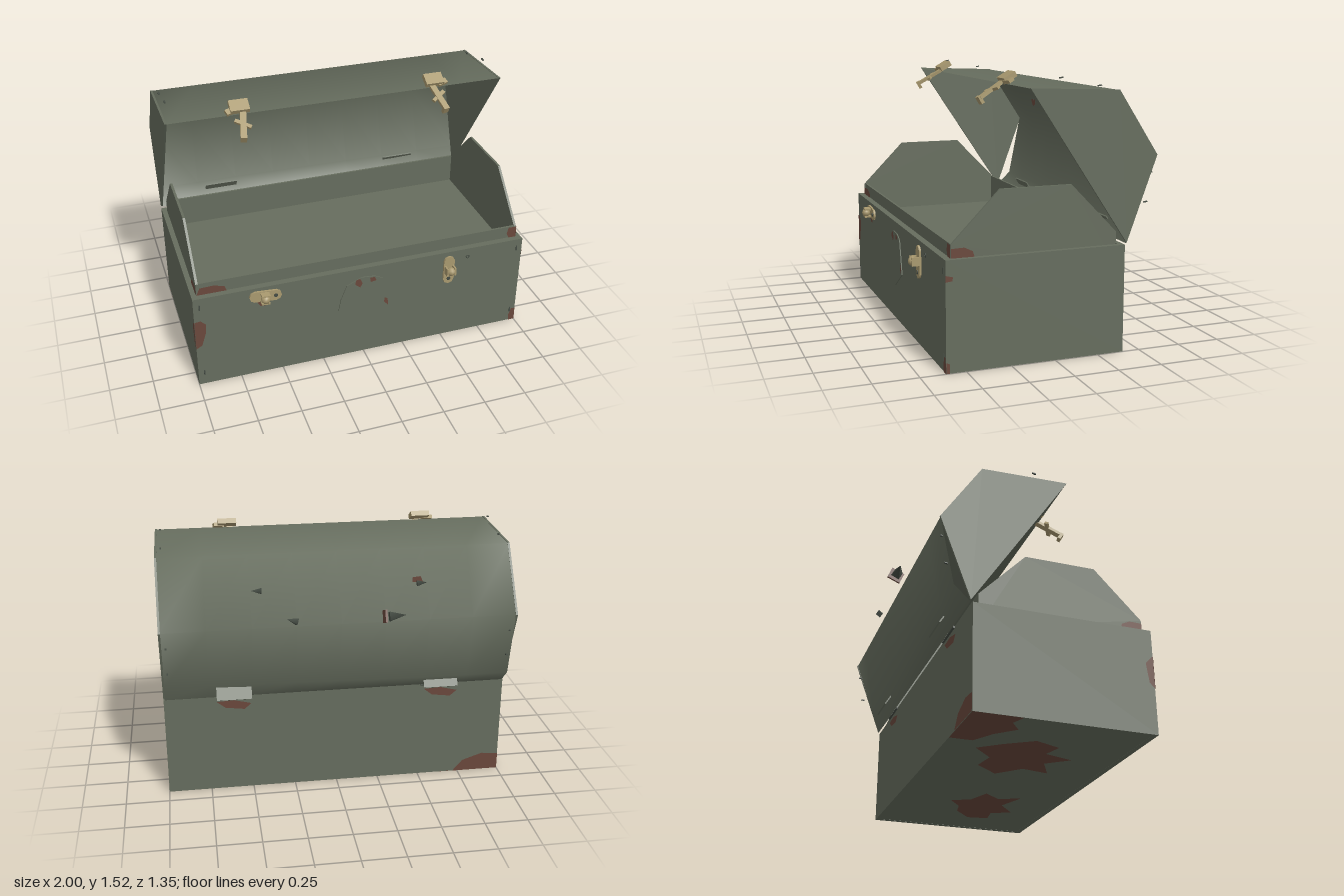
import * as THREE from 'three';

const material = (name, color, side = THREE.FrontSide) => {
  const m = new THREE.MeshStandardMaterial({ color, side });
  m.name = name;
  return m;
};

export function createModel() {
  const green = material('olive paint', 0x666d5e, THREE.DoubleSide);
  const rust = material('rust', 0x6a483c, THREE.DoubleSide);
  const brass = material('brass', 0xa9996f);
  const iron = material('dark iron', 0x454c44, THREE.DoubleSide);

  const model = new THREE.Group();
  model.name = 'openChest';

  const add = (name, geo, mat, pos = [0, 0, 0], rot = [0, 0, 0], parent = model) => {
    const mesh = new THREE.Mesh(geo, mat);
    mesh.name = name;
    mesh.position.set(...pos);
    mesh.rotation.set(...rot);
    parent.add(mesh);
    return mesh;
  };
  const box = (name, size, mat, pos, rot, parent) =>
    add(name, new THREE.BoxGeometry(...size), mat, pos, rot, parent);
  const poly = (pts) => new THREE.Shape(pts.map((p) => new THREE.Vector2(...p)));
  const slab = (pts, depth) => new THREE.ExtrudeGeometry(poly(pts), { depth, bevelEnabled: false });

  // Panel drawn in (z, y), standing across x
  const endPanel = (name, pts, x, thick) =>
    add(name, slab(pts, thick), green, [x + thick / 2, 0, 0], [0, -Math.PI / 2, 0]);

  // Body: hollow walls, base and raised tray floor
  const walls = poly([[-1, -0.61], [1, -0.61], [1, 0.4], [-1, 0.4]]);
  walls.holes.push(new THREE.Path(
    [[-0.97, -0.58], [-0.97, 0.37], [0.97, 0.37], [0.97, -0.58]].map((p) => new THREE.Vector2(...p))));
  add('bodyWalls', new THREE.ExtrudeGeometry(walls, { depth: 0.6, bevelEnabled: false }),
    green, [0, 0, 0], [-Math.PI / 2, 0, 0]);
  box('base', [1.96, 0.02, 0.97], green, [0, 0.011, 0.105]);
  box('trayFloor', [1.95, 0.02, 0.96], green, [0, 0.48, 0.105]);

  // Tray liner: front and back lips with tall end boards
  for (const z of [0.565, -0.355]) box('trayLip', [1.93, 0.19, 0.012], green, [0, 0.578, z]);
  const endBoard = [[-0.36, 0.48], [0.572, 0.48], [0.572, 0.67], [0.305, 0.942], [-0.095, 0.942], [-0.36, 0.67]];
  for (const s of [-1, 1]) endPanel('trayEndBoard', endBoard, s * 0.963, 0.014);
  box('trayRimFront', [1.94, 0.01, 0.03], green, [0, 0.594, 0.58]);

  // Lid: curved shell with one dented end, profile runs hinge to front edge
  const straight = [[-0.41, 0.605], [-0.445, 0.7], [-0.578, 1.08], [-0.35, 1.43], [0.15, 1.45]];
  const bulged = [[-0.41, 0.605], [-0.5, 0.69], [-0.578, 1.08], [-0.35, 1.43], [0.15, 1.45]];
  const verts = [], index = [], cols = 8, n = straight.length;
  for (let i = 0; i <= cols; i++) {
    const t = i / cols;
    for (let j = 0; j < n; j++) {
      const k = Math.min(1, (1 - t) * 1.3);
      verts.push(-0.99 + 1.98 * t,
        THREE.MathUtils.lerp(straight[j][1], bulged[j][1], k),
        THREE.MathUtils.lerp(straight[j][0], bulged[j][0], k));
      if (i < cols && j < n - 1) {
        const a = i * n + j, b = a + n;
        index.push(a, a + 1, b, b, a + 1, b + 1);
      }
    }
  }
  const shell = new THREE.BufferGeometry();
  shell.setAttribute('position', new THREE.Float32BufferAttribute(verts, 3));
  shell.setIndex(index);
  shell.computeVertexNormals();
  add('lidShell', shell, green);
  const lidEnd = [[-0.41, 0.61], [0.152, 1.452], [-0.35, 1.433], [-0.582, 1.08]];
  for (const s of [-1, 1]) endPanel('lidEnd', lidEnd, s * 0.994, 0.012);

  // Lock plate on the front
  add('lockPlate', slab([[0, 0.21], [0.155, 0.31], [0.11, 0.51], [0.06, 0.535], [-0.02, 0.542],
    [-0.11, 0.5], [-0.145, 0.41], [-0.16, 0.33]], 0.007), green, [0, 0, 0.609]);

  // Front catches: plate, square keeper and knob
  const catchPlate = (x, y, turn) => {
    const g = new THREE.Group();
    g.name = 'frontCatch';
    g.position.set(x, y, 0.61);
    g.rotation.z = turn;
    model.add(g);
    box('catchPlate', [0.068, 0.13, 0.012], brass, [0, 0, 0.006], [0, 0, 0], g);
    for (const s of [-1, 1]) {
      add('catchPlateEnd', new THREE.CylinderGeometry(0.034, 0.034, 0.012, 8), brass,
        [0, s * 0.06, 0.006], [Math.PI / 2, 0, 0], g);
      box('keeperArm', [0.01, 0.05, 0.045], brass, [s * 0.024, 0.008, 0.03], [0, 0, 0], g);
    }
    add('catchKnob', new THREE.SphereGeometry(0.027, 8, 6), brass, [0, 0.008, 0.04], [0, 0, 0], g);
    add('catchScrew', new THREE.CylinderGeometry(0.012, 0.012, 0.006, 8), iron,
      [0, -0.058, 0.013], [Math.PI / 2, 0, 0], g);
  };
  catchPlate(0.525, 0.48, 0);
  catchPlate(-0.59, 0.543, 1.5);
  add('screwHole', new THREE.TorusGeometry(0.01, 0.003, 4, 8), iron, [0.645, 0.545, 0.612]);

  // Lid latches: mounting block, hanging arm and hooked end, tilted forward
  for (const [x, s] of [[-0.58, -1], [0.58, 1]]) {
    const g = new THREE.Group();
    g.name = 'lidLatch';
    g.position.set(x, 1.485, 0.12);
    g.rotation.x = 0.53;
    model.add(g);
    box('latchBlock', [0.11, 0.03, 0.075], brass, [0, 0, 0], [0, 0, 0], g);
    box('latchWing', [0.06, 0.02, 0.035], brass, [s * 0.05, -0.01, 0.02], [0, 0.3, 0], g);
    box('latchArm', [0.035, 0.018, 0.17], brass, [0, -0.012, 0.115], [0, s * 0.2, 0], g);
    box('latchCrossbar', [0.1, 0.016, 0.022], brass, [0, -0.014, 0.11], [0, s * 0.6, 0], g);
    box('latchHook', [0.035, 0.045, 0.02], brass, [s * 0.015, -0.022, 0.2], [0, s * 0.2, 0], g);
  }

  // Bent spikes on the outside of the lid
  for (const [x, y, z, r, tilt] of [[-0.465, 1.26, -0.475, 0.022, 1.5], [0.46, 1.26, -0.475, 0.022, -1.5],
    [-0.3, 1.13, -0.625, 0.036, 1.5], [0.28, 1.13, -0.61, 0.024, -1.2]]) {
    add('lidSpike', new THREE.ConeGeometry(r, r * 2.6, 4), iron, [x, y, z], [-0.3, 0, tilt]);
  }
  box('spikeWasher', [0.012, 0.07, 0.08], rust, [-0.23, 1.13, -0.625], [0.4, 0, 0]);

  // Hinges along the back
  for (const x of [-0.6, 0.6]) {
    box('hingeLeaf', [0.2, 0.09, 0.008], green, [x, 0.655, -0.462], [0.55, 0, 0]);
    add('hingePin', new THREE.CylinderGeometry(0.007, 0.007, 0.2, 6), iron, [x, 0.6, -0.405], [0, 0, Math.PI / 2]);
  }

  // Loose rivets along the lid ends
  for (const s of [-1, 1]) {
    for (const [y, z] of [[1.5, -0.03], [1.455, -0.25], [0.82, -0.535], [0.98, -0.56]]) {
      box('lidRivet', [0.01, 0.006, 0.022], iron, [s * 0.965, y, z], [0.15, 0, 0]);
    }
    for (const y of [0.08, 0.54]) box('bodyRivet', [0.007, 0.035, 0.005], iron, [s * 0.965, y, 0.611]);
  }

  // Rust patches, each drawn flat and turned onto its face
  const patch = (pts, pos, rot) =>
    add('rustPatch', new THREE.ShapeGeometry(poly(pts)), rust, pos, rot);
  const half = Math.PI / 2;
  const front = (pts, z = 0.6125) => patch(pts, [0, 0, z], [0, 0, 0]);
  front([[-1, 0.26], [-0.965, 0.28], [-0.94, 0.36], [-0.935, 0.42], [-0.965, 0.45], [-1, 0.445]]);
  front([[1, 0], [1, 0.085], [0.975, 0.085], [0.96, 0.04], [0.965, 0]]);
  front([[-0.65, 0.52], [-0.62, 0.475], [-0.59, 0.475], [-0.56, 0.52]]);
  front([[-0.06, 0.5], [-0.03, 0.475], [-0.015, 0.5], [-0.03, 0.535], [-0.055, 0.53]], 0.6175);
  front([[0.035, 0.5], [0.07, 0.505], [0.06, 0.53], [0.03, 0.53]], 0.6175);
  front([[0.12, 0.34], [0.148, 0.31], [0.142, 0.36], [0.125, 0.37]], 0.6175);
  front([[-0.97, 0.6], [-0.8, 0.6], [-0.81, 0.63], [-0.87, 0.648], [-0.95, 0.645]], 0.575);
  front([[0.97, 0.6], [0.97, 0.67], [0.92, 0.67], [0.91, 0.63], [0.925, 0.6]], 0.575);
  front([[-0.48, 1.25], [-0.45, 1.215], [-0.415, 1.23], [-0.415, 1.29], [-0.46, 1.295]], -0.46)
    .rotation.set(0, 0, 0);
  for (const s of [-1, 1]) {
    const side = (pts, x) => patch(pts.map(([z, y]) => [-s * z, y]), [s * x, 0, 0], [0, s * half, 0]);
    side([[0.572, 0.6], [0.572, 0.65], [0.5, 0.652], [0.455, 0.63], [0.445, 0.6]], 0.973);
    if (s > 0) {
      side([[0.61, 0.485], [0.575, 0.49], [0.57, 0.51], [0.61, 0.52]], 1.002);
      side([[0.61, 0], [0.59, 0], [0.59, 0.05], [0.61, 0.06]], 1.002);
    } else side([[0.61, 0.26], [0.58, 0.29], [0.565, 0.4], [0.61, 0.45]], 1.002);
  }
  // Back and underside
  const back = (pts) => patch(pts.map(([x, y]) => [-x, y]), [0, 0, -0.403], [0, Math.PI, 0]);
  back([[-1, 0], [-1, 0.1], [-0.9, 0.11], [-0.78, 0.07], [-0.72, 0]]);
  for (const x of [-0.62, 0.6]) back([[x - 0.1, 0.55], [x - 0.06, 0.515], [x + 0.05, 0.53], [x + 0.1, 0.57], [x, 0.575]]);
  const below = (pts) => patch(pts, [0, -0.001, 0], [half, 0, 0]);
  below([[0.74, 0.15], [0.62, 0.04], [0.52, 0.02], [0.42, -0.06], [0.36, 0.05], [0.22, 0.1], [0.3, 0.2],
    [0.25, 0.33], [0.42, 0.27], [0.55, 0.38], [0.6, 0.26], [0.72, 0.28]]);
  below([[-0.15, 0.02], [-0.26, -0.12], [-0.4, -0.1], [-0.52, -0.22], [-0.62, -0.1], [-0.72, 0.05], [-0.66, 0.2],
    [-0.55, 0.17], [-0.5, 0.34], [-0.4, 0.22], [-0.25, 0.3], [-0.28, 0.14]]);
  below([[-0.62, -0.4], [-0.62, -0.27], [-0.74, -0.2], [-0.84, -0.1], [-0.92, -0.16], [-1, -0.13], [-1, -0.4]]);

  return model;
}
